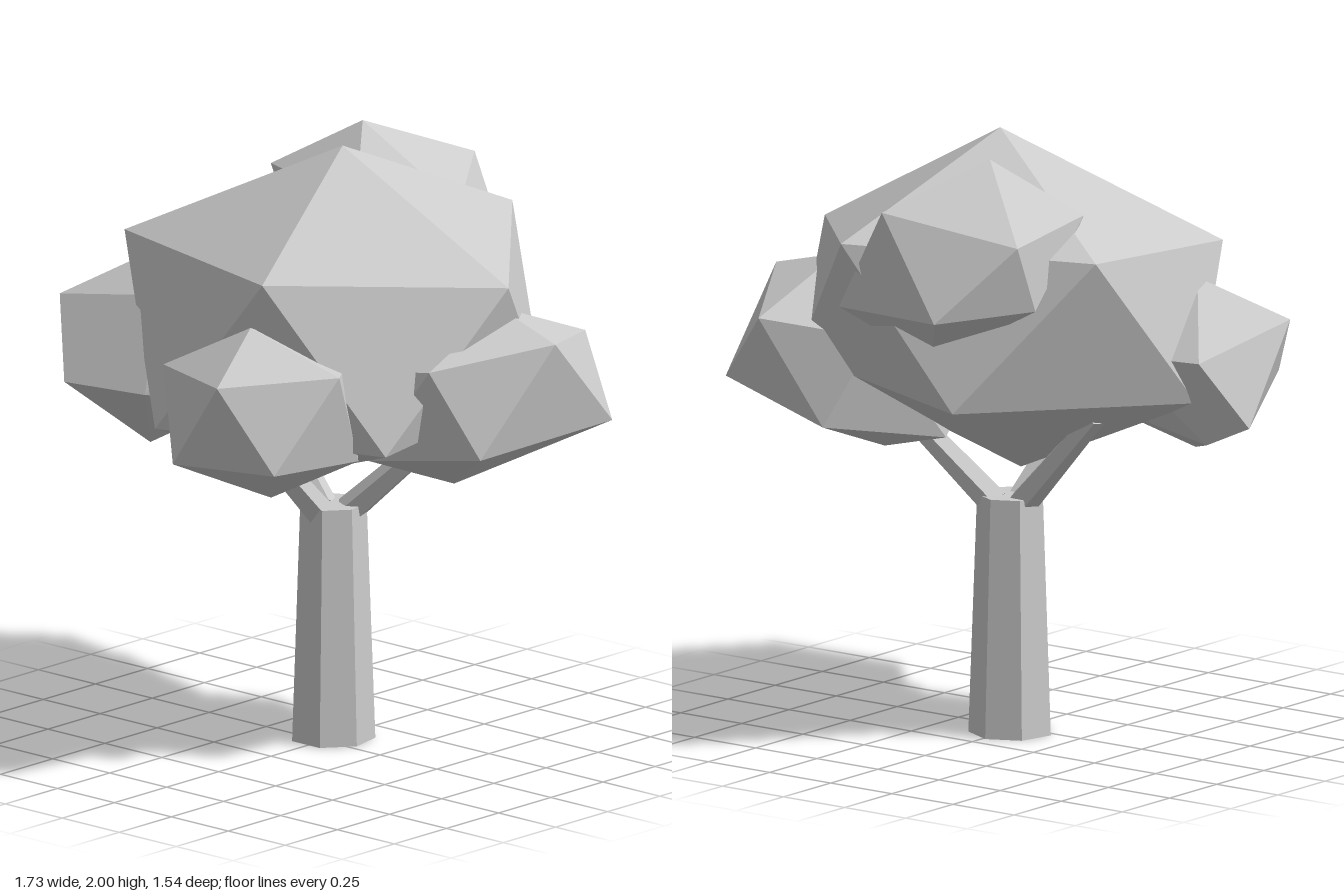
import * as THREE from 'three';
import { ConvexGeometry } from 'three/addons/geometries/ConvexGeometry.js';

const material = new THREE.MeshStandardMaterial({ color: 0xcccccc, flatShading: true });
const v = (p) => new THREE.Vector3(...p);

function addMesh(parent, name, geometry) {
  const mesh = new THREE.Mesh(geometry, material);
  mesh.name = name;
  parent.add(mesh);
  return mesh;
}

// Irregular twenty-sided leaf clump; with a centre, each corner is also mirrored through it
function addClump(parent, name, corners, centre) {
  const points = corners.map(v);
  if (centre) {
    const c = v(centre).multiplyScalar(2);
    points.push(...points.map((p) => c.clone().sub(p)));
  }
  return addMesh(parent, name, new ConvexGeometry(points));
}

// Tapered limb between two points
function addBranch(parent, name, from, to, r0, r1) {
  const a = v(from), b = v(to), dir = b.clone().sub(a);
  const mesh = addMesh(parent, name, new THREE.CylinderGeometry(r1, r0, dir.length(), 5));
  mesh.position.copy(a).add(b).multiplyScalar(0.5);
  mesh.quaternion.setFromUnitVectors(new THREE.Vector3(0, 1, 0), dir.normalize());
}

export function createModel() {
  const tree = new THREE.Group();
  tree.name = 'tree';

  // Seven-sided trunk, flat side to the front
  const trunk = addMesh(tree, 'trunk',
    new THREE.CylinderGeometry(0.112, 0.14, 0.79, 7, 1, false, Math.PI));
  trunk.position.set(-0.01, 0.395, -0.055);

  // Three branches spreading from the trunk top
  const branches = new THREE.Group();
  branches.name = 'branches';
  tree.add(branches);
  addBranch(branches, 'rightBranch', [-0.05, 0.76, -0.06], [-0.42, 1.12, -0.14], 0.05, 0.035);
  addBranch(branches, 'leftBranch', [0.03, 0.76, -0.09], [0.38, 1.1, -0.2], 0.05, 0.035);
  addBranch(branches, 'frontBranch', [-0.01, 0.75, -0.01], [-0.06, 1.12, 0.32], 0.05, 0.035);

  // Foliage
  const foliage = new THREE.Group();
  foliage.name = 'foliage';
  tree.add(foliage);

  addClump(foliage, 'mainCrown', [
    [0.04, 2, -0.05],
    // upper ring
    [0.2, 1.675, 0.51], [0.7, 1.63, -0.125], [0.19, 1.71, -0.7],
    [-0.59, 1.69, -0.36], [-0.62, 1.66, 0.275],
    // lower ring
    [0.55, 1.12, 0.3], [0.6, 1.23, -0.395], [-0.22, 1.19, -0.64],
    [-0.72, 1.18, 0.005], [-0.28, 1.1, 0.5],
    [-0.06, 0.89, -0.07],
  ]);

  addClump(foliage, 'frontClump', [
    [0.14, 1.52, 0.5], [-0.17, 1.355, 0.58], [0.24, 1.39, 0.77],
    [0.47, 1.4, 0.435], [0, 1.08, 0.72], [0.39, 1.1, 0.66],
  ], [0.13, 1.22, 0.44]);

  addClump(foliage, 'rightClump', [
    [-0.845, 1.415, 0.34], [-0.87, 1.1, 0.09], [-0.66, 1.19, 0.52],
    [-0.42, 1.49, 0.34], [-0.62, 1.56, 0.14], [-0.36, 1.19, 0.46],
  ], [-0.57, 1.26, 0.2]);

  addClump(foliage, 'leftClump', [
    [0.62, 1.38, -0.58], [0.835, 1.14, -0.475], [0.86, 1.46, -0.175],
    [0.755, 1.1, 0.07], [0.63, 1.395, 0.18], [0.59, 1.53, -0.2],
  ], [0.505, 1.22, -0.185]);

  addClump(foliage, 'backClump', [
    [-0.165, 1.98, -0.37], [0.015, 1.84, -0.71], [-0.44, 1.76, -0.58],
    [-0.445, 1.81, -0.235], [0.235, 1.76, -0.395], [-0.245, 1.515, -0.77],
  ], [-0.11, 1.65, -0.45]);

  return tree;
}
